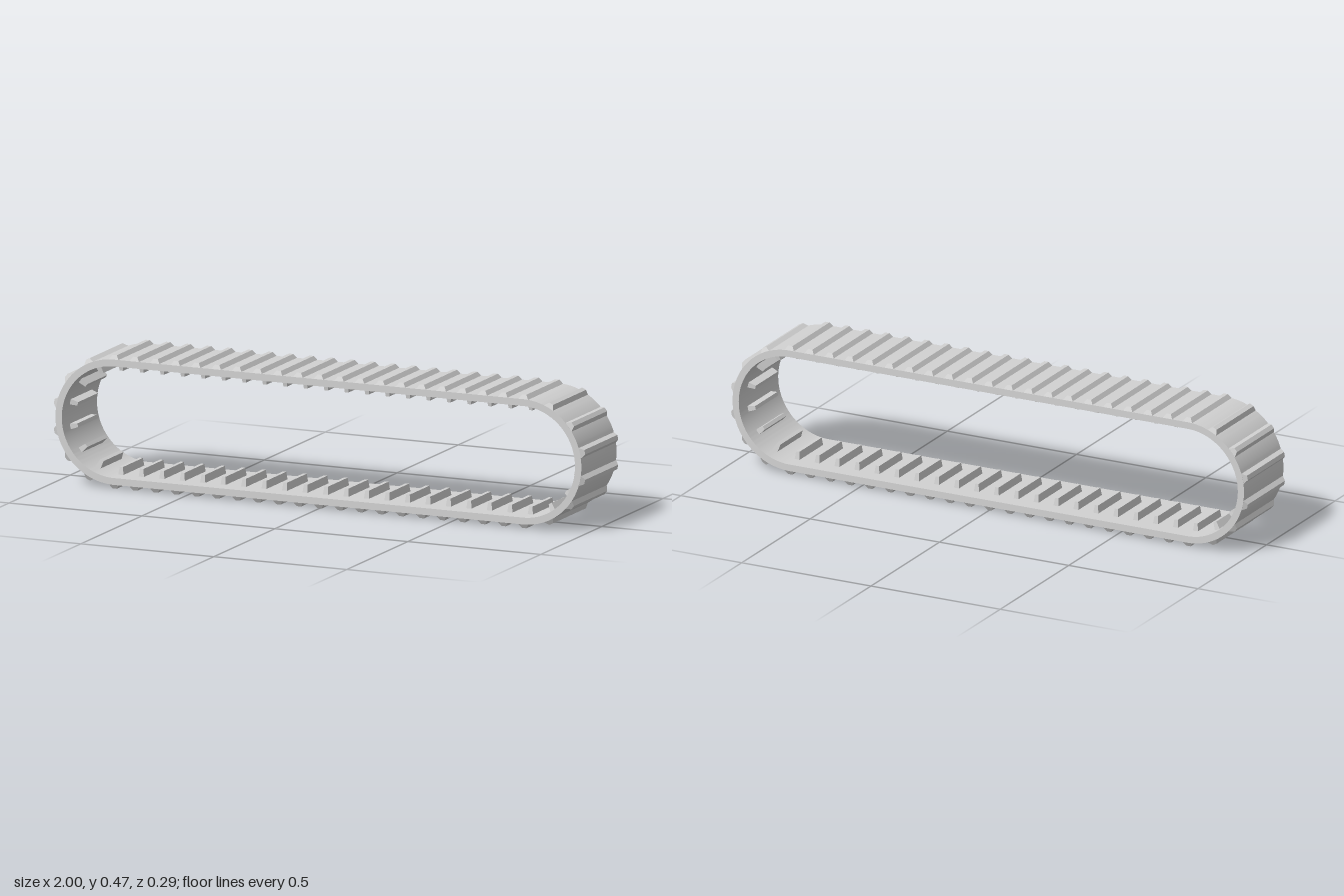
import * as THREE from 'three';
import { toCreasedNormals } from 'three/addons/utils/BufferGeometryUtils.js';

const CENTRE_Y = 0.2335, HALF_RUN = 0.77, WIDTH = 0.288;
const OUTER = 0.219, INNER = 0.195;

// Stadium outline of a given end radius
function stadium(path, r) {
  path.absarc(HALF_RUN, 0, r, -Math.PI / 2, Math.PI / 2, false);
  path.absarc(-HALF_RUN, 0, r, Math.PI / 2, Math.PI * 1.5, false);
  path.closePath();
  return path;
}

// Block along +y from y0 to y1, tapering in x and z toward y1
function taperedBlock(y0, y1, baseX, tipX, baseZ, tipZ) {
  const geo = new THREE.BoxGeometry(2, 1, 2);
  const p = geo.attributes.position;
  for (let i = 0; i < p.count; i++) {
    const tip = p.getY(i) > 0;
    p.setXYZ(i, p.getX(i) * (tip ? tipX : baseX), tip ? y1 : y0, p.getZ(i) * (tip ? tipZ : baseZ));
  }
  const flat = geo.toNonIndexed();
  flat.computeVertexNormals();
  return flat;
}

export function createModel() {
  const model = new THREE.Group();
  model.name = 'crawlerTrack';
  const grey = new THREE.MeshStandardMaterial({ color: 0xd2d2d2 });
  grey.name = 'trackGrey';

  // Continuous belt
  const shape = stadium(new THREE.Shape(), OUTER);
  shape.holes.push(stadium(new THREE.Path(), INNER));
  const beltGeo = new THREE.ExtrudeGeometry(shape, { depth: WIDTH, bevelEnabled: false, curveSegments: 40 });
  beltGeo.translate(0, CENTRE_Y, -WIDTH / 2);
  const belt = new THREE.Mesh(toCreasedNormals(beltGeo, 0.5), grey);
  belt.name = 'belt';
  model.add(belt);

  // Outer tread bar, and inner drive tooth pointing toward the loop centre
  const lugGeo = taperedBlock(OUTER - 0.001, CENTRE_Y, 0.0185, 0.008, WIDTH / 2, 0.135);
  const toothGeo = taperedBlock(-INNER - 0.002, -0.168, 0.01, 0.0065, 0.086, 0.081);
  toothGeo.rotateX(Math.PI);

  function addLink(x, angle) {
    const link = new THREE.Group();
    link.name = 'trackLink';
    const lug = new THREE.Mesh(lugGeo, grey);
    lug.name = 'treadBar';
    const tooth = new THREE.Mesh(toothGeo, grey);
    tooth.name = 'driveTooth';
    link.add(lug, tooth);
    link.position.set(x, CENTRE_Y, 0);
    link.rotation.z = angle;
    model.add(link);
  }

  // Links on the straight runs
  for (let i = -10; i <= 10; i++) {
    addLink(i * HALF_RUN / 10, 0);
    addLink(i * HALF_RUN / 10, Math.PI);
  }
  // Links around both ends
  for (let i = 1; i <= 6; i++) {
    addLink(HALF_RUN, -i * Math.PI / 7);
    addLink(-HALF_RUN, i * Math.PI / 7);
  }
  return model;
}
